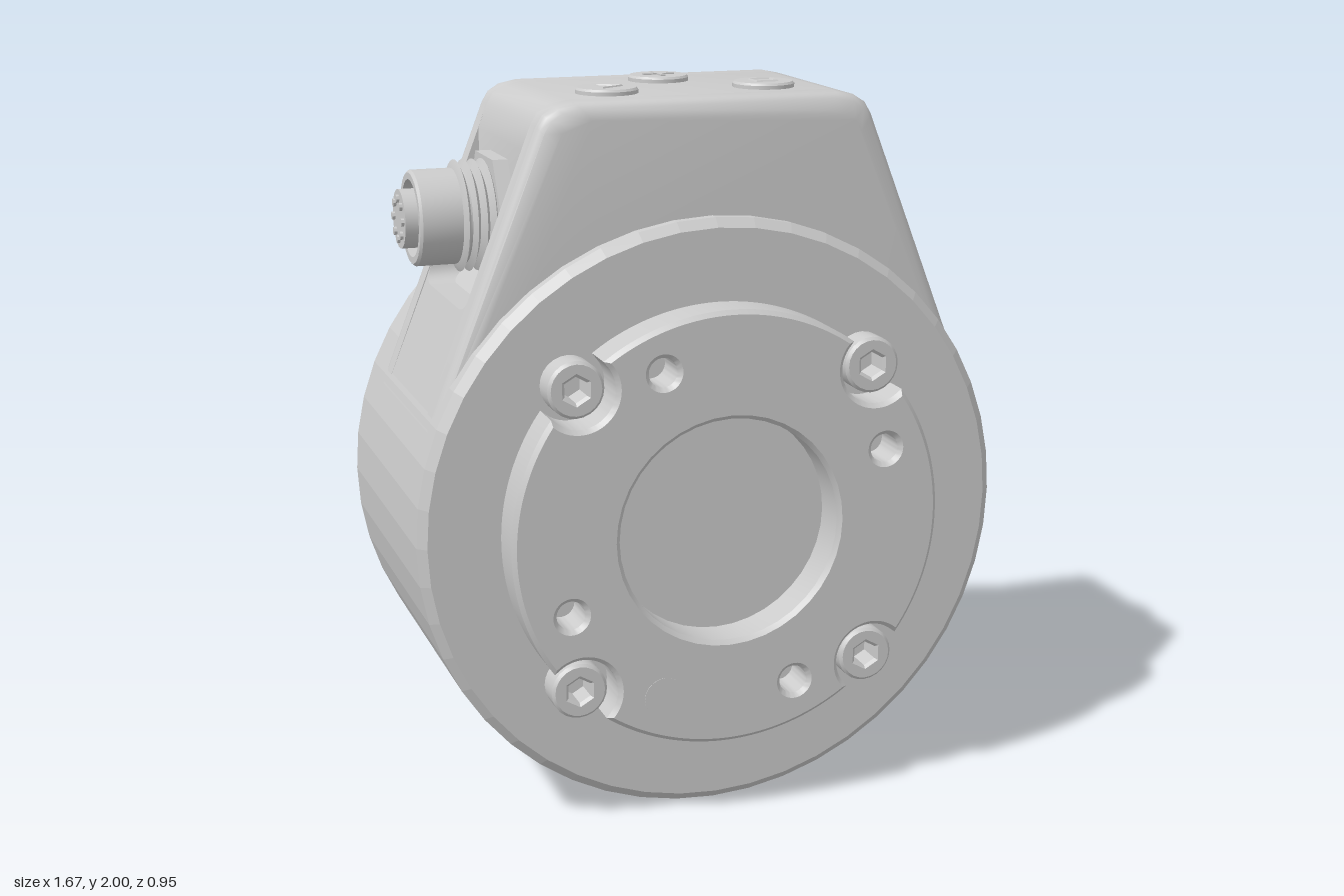
import * as THREE from 'three';
import { toCreasedNormals } from 'three/addons/utils/BufferGeometryUtils.js';

const CY = 0.835;            // height of the ring axis
const R = 0.835;             // ring radius
const HOOD_BACK = -0.335, HOOD_FRONT = 0.31;
const POCKET_BACK = -0.24, POCKET_FRONT = 0.215, POCKET_X = 0.495, POCKET_Y = 1.43;
const slopeX = y => 0.47 + (1.92 - y) * 0.386;   // sloping side of the hood

const smooth = new THREE.MeshStandardMaterial({ color: 0xcccccc, side: THREE.DoubleSide });
const faceted = new THREE.MeshStandardMaterial({ color: 0xcccccc, side: THREE.DoubleSide, flatShading: true });

function add(parent, name, geometry, x = 0, y = 0, z = 0, material = smooth) {
  const geo = material === smooth ? toCreasedNormals(geometry, 0.6) : geometry;
  const mesh = new THREE.Mesh(geo, material);
  mesh.name = name;
  mesh.position.set(x, y, z);
  parent.add(mesh);
  return mesh;
}
const lathe = (pts, n) => new THREE.LatheGeometry(pts.map(p => new THREE.Vector2(...p)), n);
const cylZ = (r, d, n = 20) => new THREE.CylinderGeometry(r, r, d, n).rotateX(Math.PI / 2);
const cylX = (r, d, n = 32) => new THREE.CylinderGeometry(r, r, d, n).rotateZ(-Math.PI / 2);
const circle = (x, y, r) => new THREE.Path().absarc(x, y, r, 0, Math.PI * 2);
const diagonals = [0, 1, 2, 3].map(i => Math.PI / 4 + i * Math.PI / 2);

// Hood outline: flat top, sloping sides tangent to the ring, open underneath
function hoodShape(notched) {
  const half = [[0.37, 1.98], [0.42, 1.97], [0.452, 1.95], [0.47, 1.92]];
  if (notched) half.push([POCKET_X, 1.855], [POCKET_X, POCKET_Y], [slopeX(POCKET_Y), POCKET_Y]);
  half.push([0.78, 1.13]);
  const pts = half.map(([x, y]) => new THREE.Vector2(x, y));
  for (let i = 0; i <= 24; i++) {
    const a = 0.38 + (Math.PI - 0.76) * i / 24;
    pts.push(new THREE.Vector2(0.765 * Math.cos(a), CY + 0.765 * Math.sin(a)));
  }
  half.reverse().forEach(([x, y]) => pts.push(new THREE.Vector2(-x, y)));
  return new THREE.Shape(pts);
}

function buildHood(root) {
  const hood = new THREE.Group();
  hood.name = 'hood';
  root.add(hood);
  const round = 0.045;
  const slab = (name, z0, z1, notched) => add(hood, name,
    new THREE.ExtrudeGeometry(hoodShape(notched), { depth: z1 - z0, bevelEnabled: false }), 0, 0, z0);
  slab('hoodMiddle', POCKET_BACK, POCKET_FRONT, true);
  slab('hoodFrontWall', POCKET_FRONT, HOOD_FRONT - round, false);
  slab('hoodBackWall', HOOD_BACK + round, POCKET_BACK, false);

  // Rounded front and back edges, drawn in towards the face
  for (const s of [1, -1]) {
    const g = new THREE.ExtrudeGeometry(hoodShape(false), { depth: round, steps: 4, bevelEnabled: false });
    const p = g.attributes.position;
    for (let i = 0; i < p.count; i++) {
      const t = p.getZ(i) / round, inset = round * (1 - Math.sqrt(Math.max(0, 1 - t * t)));
      const x = p.getX(i), y = p.getY(i);
      p.setXYZ(i, x - Math.sign(x) * Math.min(Math.abs(x), inset * 0.9), y > 1.9 ? y - inset : y, s * p.getZ(i));
    }
    g.computeVertexNormals();
    add(hood, s > 0 ? 'hoodFrontEdge' : 'hoodBackEdge', g, 0, 0, s > 0 ? HOOD_FRONT - round : HOOD_BACK + round);
  }

  // Rounded lower corners of the side pockets
  for (const side of [1, -1]) for (const [z, d] of [[POCKET_BACK, 0.06], [POCKET_FRONT, -0.06]]) {
    const c = new THREE.Shape();
    c.moveTo(z, POCKET_Y);
    c.lineTo(z + d, POCKET_Y);
    c.quadraticCurveTo(z, POCKET_Y, z, POCKET_Y + 0.06);
    const g = new THREE.ExtrudeGeometry(c, { depth: 1, bevelEnabled: false, curveSegments: 6 });
    const p = g.attributes.position;
    for (let i = 0; i < p.count; i++) {
      const y = p.getY(i);
      p.setXYZ(i, side * (p.getZ(i) > 0.5 ? slopeX(y) : POCKET_X), y, p.getX(i));
    }
    if (side > 0) {   // restore outward winding on the mirrored side
      for (let i = 0; i < p.count; i += 3) {
        const a = [p.getX(i), p.getY(i), p.getZ(i)];
        p.setXYZ(i, p.getX(i + 1), p.getY(i + 1), p.getZ(i + 1));
        p.setXYZ(i + 1, ...a);
      }
    }
    g.computeVertexNormals();
    add(hood, 'pocketCorner', g);
  }
}

// Front flange with four scalloped screw recesses
function flangeShape() {
  const FR = 0.598, d = 0.594, r = 0.112;
  const a = Math.acos((FR * FR + d * d - r * r) / (2 * FR * d));
  const b = Math.atan2(FR * Math.sin(a), FR * Math.cos(a) - d);
  const s = new THREE.Shape();
  for (const t of diagonals) {
    s.absarc(0, 0, FR, t - Math.PI / 2 + a, t - a, false);
    s.absarc(d * Math.cos(t), d * Math.sin(t), r, t - b, t + b - Math.PI * 2, true);
  }
  s.holes.push(circle(0, 0, 0.325));
  for (const [x, y] of [[-0.19, 0.455], [0.45, 0.19], [-0.45, -0.19], [0.19, -0.455]]) s.holes.push(circle(x, y, 0.052));
  return s;
}

function buildButtons(root) {
  const spots = [['plus', 0, -0.135], ['triangle', -0.225, 0.1], ['square', 0.225, 0.1]];
  for (const [kind, x, z] of spots) {
    const b = new THREE.Group();
    b.name = kind + 'Button';
    b.position.set(x, 1.975, z);
    root.add(b);
    add(b, 'cap', lathe([[0, 0], [0.085, 0], [0.085, 0.015], [0.08, 0.021], [0, 0.021]], 32));
    if (kind === 'plus') {
      add(b, 'mark', new THREE.BoxGeometry(0.09, 0.008, 0.014), 0, 0.021);
      add(b, 'mark', new THREE.BoxGeometry(0.014, 0.008, 0.09), 0, 0.021);
    } else {
      const n = kind === 'square' ? 4 : 3;
      const g = new THREE.TorusGeometry(0.042, 0.005, 4, n).rotateZ(n === 4 ? Math.PI / 4 : 0).rotateX(-Math.PI / 2);
      add(b, 'mark', g, 0, 0.02, 0, faceted);
    }
  }
}

// Round cable connector, built pointing along +x and turned to the model's right
function buildConnector(root) {
  const c = new THREE.Group();
  c.name = 'connector';
  c.position.set(0, 1.65, -0.02);
  c.rotation.y = Math.PI;
  root.add(c);
  add(c, 'hexNut', cylX(0.185, 0.045, 6), 0.515, 0, 0, faceted);
  const thread = [[0, 0.5]];
  for (let i = 0; i < 4; i++) thread.push([0.125, 0.53 + i * 0.025], [0.152, 0.5425 + i * 0.025]);
  thread.push([0.125, 0.63], [0, 0.63]);
  add(c, 'thread', lathe(thread, 32).rotateZ(-Math.PI / 2));
  add(c, 'sleeve', lathe([[0, 0.6], [0.13, 0.6], [0.13, 0.738], [0.123, 0.745], [0.105, 0.745],
    [0.105, 0.7], [0, 0.7]], 32).rotateZ(-Math.PI / 2));
  add(c, 'insert', cylX(0.08, 0.085), 0.7325);
  for (let i = 0; i < 8; i++) {
    const t = i * Math.PI / 4;
    add(c, 'contact', cylX(0.011, 0.012, 8), 0.777, 0.055 * Math.cos(t), 0.055 * Math.sin(t));
  }
}

export function createModel() {
  const root = new THREE.Group();
  root.name = 'sensorHousing';

  // Ring housing, open at the back with stepped floors
  add(root, 'ringHousing', lathe([[0, 0.15], [0.44, 0.15], [0.44, -0.1], [0.59, -0.1], [0.59, -0.12], [0.7, -0.12],
    [0.7, -0.45], [0.725, -0.475], [0.815, -0.475], [R, -0.455], [R, 0.338], [0.81, 0.36], [0, 0.36]], 48)
    .rotateX(Math.PI / 2), 0, CY, 0, faceted);
  const floor = new THREE.Shape().absarc(0, 0, 0.702, 0, Math.PI * 2);
  floor.holes.push(circle(0, 0, 0.59));
  for (const t of diagonals) floor.holes.push(circle(0.645 * Math.cos(t), 0.645 * Math.sin(t), 0.035));
  add(root, 'rearFloor', new THREE.ExtrudeGeometry(floor, { depth: 0.05, bevelEnabled: false, curveSegments: 24 }), 0, CY, -0.17);

  // Contact pins and inner details seen from the back
  for (let i = 0; i < 12; i++) {
    const t = (i + 0.5) * Math.PI / 6;
    add(root, 'pin', cylZ(0.026, 0.19, 14), 0.51 * Math.cos(t), CY + 0.51 * Math.sin(t), -0.185);
  }
  add(root, 'innerLip', new THREE.TorusGeometry(0.445, 0.014, 6, 48), 0, CY, -0.1);
  for (const s of [1, -1]) add(root, 'boss', cylZ(0.07, 0.14), s * 0.27, CY - s * 0.27, 0.09);
  const plate = new THREE.Shape();
  plate.absarc(0, 0, 0.435, -1.05, 1.05);
  [[0.22, 0.07], [0.18, 0.03], [0.18, -0.3]].forEach(p => plate.lineTo(...p));
  add(root, 'innerPlate', new THREE.ExtrudeGeometry(plate, { depth: 0.03, bevelEnabled: false }), 0, CY, 0.12);

  buildHood(root);

  // Mounting flange with its plug and four socket screws
  add(root, 'frontFlange', new THREE.ExtrudeGeometry(flangeShape(), {
    depth: 0.105, bevelThickness: 0.012, bevelSize: 0.012, bevelSegments: 1, curveSegments: 20 }), 0, CY, 0.358);
  const plug = add(root, 'plug', cylZ(0.058, 0.117), -0.19, CY - 0.455, 0.418);
  plug.scale.z = 1;
  const head = new THREE.Shape().absarc(0, 0, 0.07, 0, Math.PI * 2);
  head.holes.push(new THREE.Path([0, 1, 2, 3, 4, 5].map(i =>
    new THREE.Vector2(0.045 * Math.sin(i * Math.PI / 3), 0.045 * Math.cos(i * Math.PI / 3)))));
  for (const t of diagonals) {
    add(root, 'socketScrew', new THREE.ExtrudeGeometry(head, {
      depth: 0.07, bevelThickness: 0.008, bevelSize: 0.008, bevelSegments: 1 }),
    0.594 * Math.cos(t), CY + 0.594 * Math.sin(t), 0.362);
  }

  // Domed lamp in the left pocket
  add(root, 'lampDome', lathe([[0.175, 0.49], [0.175, 0.52], [0.168, 0.55], [0.15, 0.58], [0.125, 0.6],
    [0.115, 0.61], [0.095, 0.63], [0.06, 0.647], [0.03, 0.654], [0, 0.656]], 40).rotateZ(-Math.PI / 2), 0, 1.65, -0.015);

  buildConnector(root);
  buildButtons(root);
  return root;
}
